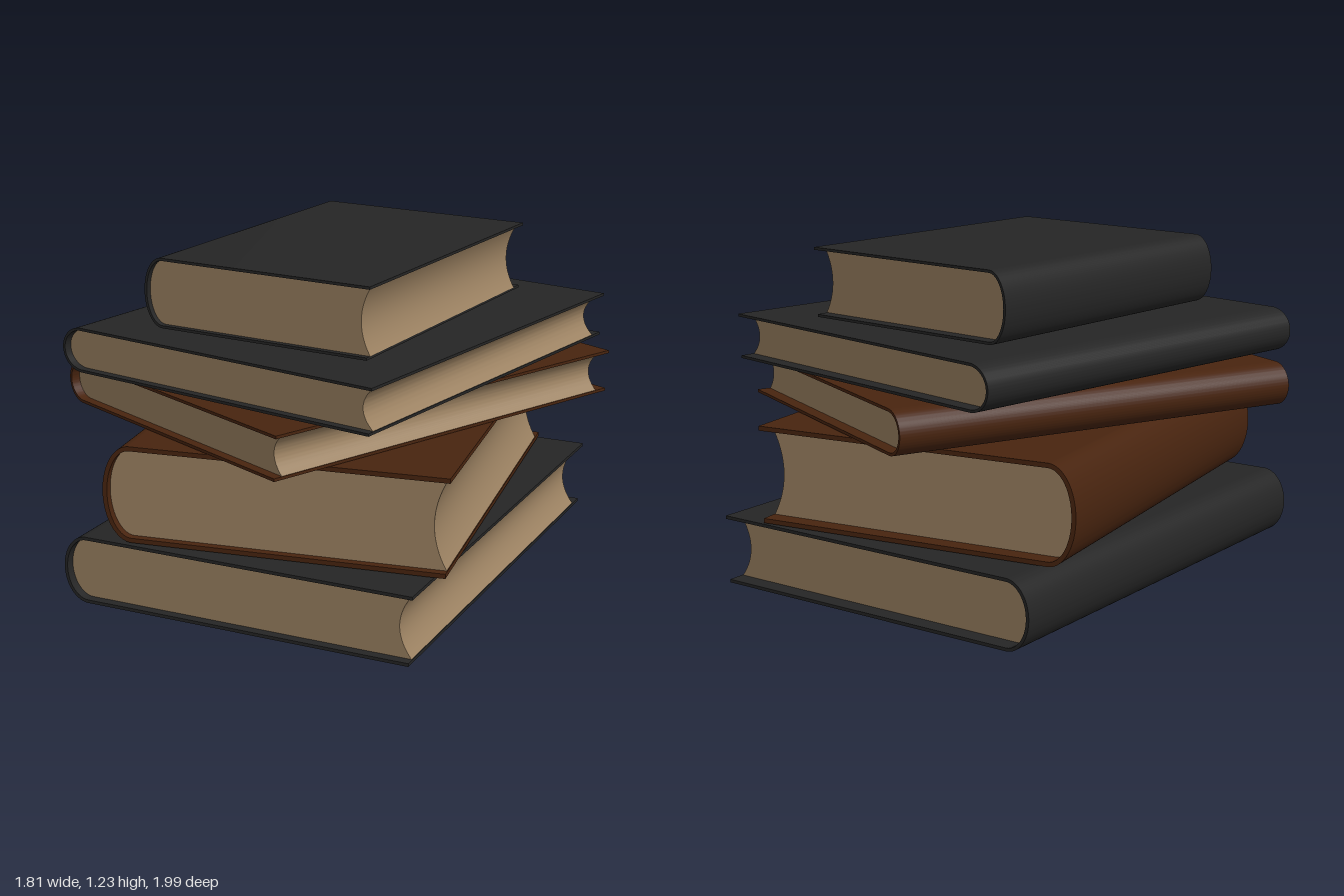
import * as THREE from 'three';
import { toCreasedNormals } from 'three/addons/utils/BufferGeometryUtils.js';

const material = (name, color) => {
  const m = new THREE.MeshStandardMaterial({ color });
  m.name = name;
  return m;
};

// Extrudes a cross-section from z0 to z1, smooth along curves, sharp at edges
function extrude(shape, z0, z1, mat, name) {
  let geo = new THREE.ExtrudeGeometry(shape, { depth: z1 - z0, bevelEnabled: false, curveSegments: 24 });
  geo.translate(0, 0, z0);
  geo = toCreasedNormals(geo, 0.6);
  const mesh = new THREE.Mesh(geo, mat);
  mesh.name = name;
  return mesh;
}

// One hardback: wrap-around cover with round spine at -x, pages with hollow fore edge at +x
function makeBook({ name, w, d, h, t, round, hollow, lip, front, back, cover, paper }) {
  const book = new THREE.Group();
  book.name = name;
  const hw = w / 2, hd = d / 2, xs = -hw + round, low = hw - 0.012;

  const c = new THREE.Shape();
  c.moveTo(hw, h);
  c.lineTo(xs, h);
  c.absellipse(xs, h / 2, round, h / 2, Math.PI / 2, Math.PI * 1.5, false);
  c.lineTo(low, 0);
  c.lineTo(low, t);
  c.lineTo(xs, t);
  c.absellipse(xs, h / 2, round - t, h / 2 - t, Math.PI * 1.5, Math.PI / 2, true);
  c.lineTo(hw, h - t);
  c.closePath();
  book.add(extrude(c, -hd, hd, cover, 'cover'));

  const px = hw - lip;
  const p = new THREE.Shape();
  p.moveTo(px, h - t);
  p.lineTo(xs, h - t);
  p.absellipse(xs, h / 2, round - t, h / 2 - t, Math.PI / 2, Math.PI * 1.5, false);
  p.lineTo(px, t);
  p.quadraticCurveTo(px - 2 * hollow, h / 2, px, h - t);
  book.add(extrude(p, -hd + back, hd - front, paper, 'pages'));
  return book;
}

export function createModel() {
  const group = new THREE.Group();
  group.name = 'bookStack';
  const black = material('blackCover', 0x252525);
  const brown = material('brownCover', 0x48240f);
  const paper = material('paper', 0x9c8262);

  // Bottom to top; turn is in degrees about y
  const books = [
    { name: 'bottomBook', w: 1.37, d: 1.78, h: 0.255, y: 0.005, x: -0.005, turn: 0, t: 0.012,
      round: 0.095, hollow: 0.045, lip: 0.015, front: 0.035, back: 0.065, cover: black },
    { name: 'thickBook', w: 1.264, d: 1.616, h: 0.36, y: 0.265, x: -0.008, turn: 8.4, t: 0.017,
      round: 0.105, hollow: 0.045, lip: 0.015, front: 0.03, back: 0.065, cover: brown },
    { name: 'middleBook', w: 1.253, d: 1.615, h: 0.163, y: 0.627, x: -0.004, turn: -24.5, t: 0.011,
      round: 0.085, hollow: 0.04, lip: 0.015, front: 0.035, back: 0.05, cover: brown },
    { name: 'upperBook', w: 1.373, d: 1.572, h: 0.167, y: 0.799, x: 0, turn: -10.5, t: 0.01,
      round: 0.09, hollow: 0.04, lip: 0.015, front: 0.03, back: 0.055, cover: black },
    { name: 'topBook', w: 0.928, d: 1.205, h: 0.258, y: 0.975, x: -0.004, turn: -4.9, t: 0.01,
      round: 0.075, hollow: 0.035, lip: 0.01, front: 0.022, back: 0.048, cover: black },
  ];
  for (const spec of books) {
    const book = makeBook({ ...spec, paper });
    book.position.set(spec.x, spec.y - 0.005, 0);
    book.rotation.y = THREE.MathUtils.degToRad(spec.turn);
    group.add(book);
  }
  return group;
}
